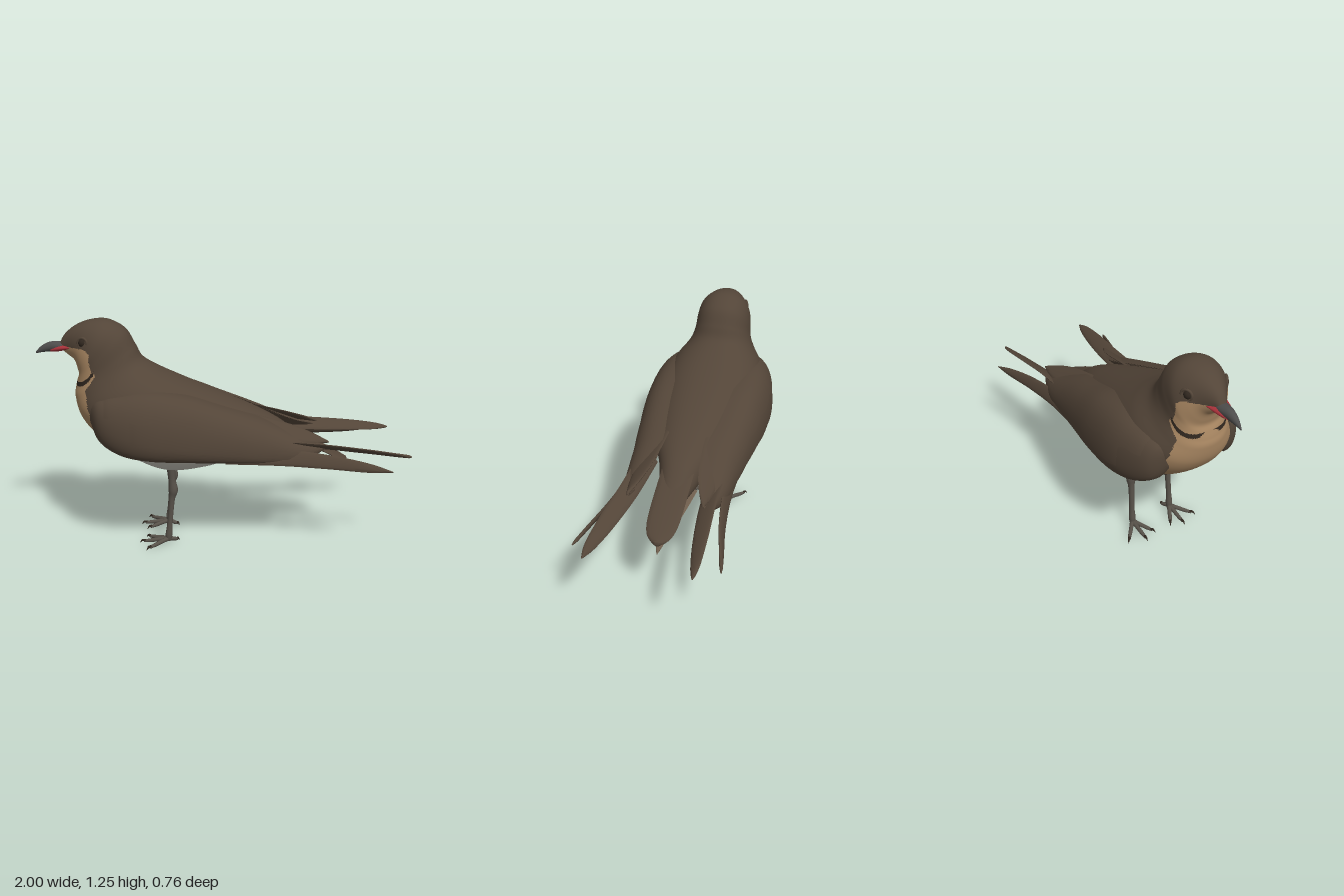
import * as THREE from 'three';
import { toCreasedNormals } from 'three/addons/utils/BufferGeometryUtils.js';

const mat = (name, color) => Object.assign(new THREE.MeshStandardMaterial({ color }), { name });
const brown = mat('brown plumage', 0x534538);
const white = mat('white belly', 0xc6c4ba);
const tan = mat('tan throat', 0xa98762);
const dark = mat('dark collar', 0x30271f);
const grey = mat('grey leg', 0x575149);
const horn = mat('dark beak', 0x4d4c4b);
const red = mat('red gape', 0xa8323a);
const dun = mat('dun under tail', 0x6d5c4b);

const V = (x, y, z) => new THREE.Vector3(x, y, z);

// Catmull-Rom resampling of rows of any length
function sample(rows, n) {
  const out = [], last = rows.length - 1;
  for (let k = 0; k <= n; k++) {
    const u = (k / n) * last, i = Math.min(Math.floor(u), last - 1), f = u - i;
    const [a, b, c, d] = [Math.max(i - 1, 0), i, i + 1, Math.min(i + 2, last)].map(j => rows[j]);
    out.push(b.map((_, j) => b[j] + 0.5 * f * (c[j] - a[j] + f * (2 * a[j] - 5 * b[j] + 4 * c[j] - d[j]
      + f * (3 * (b[j] - c[j]) + d[j] - a[j])))));
  }
  return out;
}

// Closed skin over rings of points; faces may be sorted into materials by rule(centre)
function loft(rings, side = 1, rule = null, count = 1) {
  const n = rings[0].length, m = rings.length, pts = rings.flat().map(p => V(p.x, p.y, p.z * side));
  const mid = r => r.reduce((s, p) => s.add(V(p.x, p.y, p.z * side)), V(0, 0, 0)).divideScalar(n);
  pts.push(mid(rings[0]), mid(rings[m - 1]));
  const tris = [];
  for (let j = 0; j < n; j++) {
    const k = (j + 1) % n, e = (m - 1) * n;
    tris.push([n * m, k, j], [n * m + 1, e + j, e + k]);
    for (let i = 0; i < m - 1; i++) {
      const a = i * n + j, b = i * n + k;
      tris.push([a, b, a + n], [b, b + n, a + n]);
    }
  }
  // Turn all faces outward
  let vol = 0;
  const c = V(0, 0, 0);
  for (const [p, q, r] of tris) vol += pts[p].dot(c.crossVectors(pts[q], pts[r]));
  if (vol < 0) tris.forEach(t => t.reverse());
  const buckets = Array.from({ length: count }, () => []);
  for (const t of tris) {
    c.set(0, 0, 0);
    t.forEach(i => c.add(pts[i]));
    buckets[rule ? rule(c.divideScalar(3)) : 0].push(...t);
  }
  const g = new THREE.BufferGeometry().setFromPoints(pts);
  g.setIndex(buckets.flat());
  let start = 0;
  if (rule) buckets.forEach((b, i) => { g.addGroup(start, b.length, i); start += b.length; });
  g.computeVertexNormals();
  return g;
}

// Round limb along rows of [x, y, z, radius]
function limb(rows, side, n = 16, seg = 12) {
  const s = sample(rows, n), z = V(0, 0, 1);
  return loft(s.map((r, i) => {
    const a = s[Math.max(i - 1, 0)], b = s[Math.min(i + 1, n)];
    const t = V(b[0] - a[0], b[1] - a[1], b[2] - a[2]).normalize();
    const u = t.clone().cross(z).normalize(), v = t.clone().cross(u);
    return Array.from({ length: seg }, (_, k) => {
      const q = k / seg * Math.PI * 2;
      return V(r[0], r[1], r[2]).addScaledVector(u, Math.cos(q) * r[3]).addScaledVector(v, Math.sin(q) * r[3]);
    });
  }), side);
}

// Thin blade along rows of [x, y, z, halfWidth], outer edge lowered by tilt
function feather(rows, tilt, side, thick = 0.009) {
  const c = Math.cos(tilt), s = Math.sin(tilt);
  return toCreasedNormals(loft(sample(rows, 28).map(([x, y, z, w]) => Array.from({ length: 16 }, (_, k) => {
    const q = k / 16 * Math.PI * 2, a = Math.cos(q) * Math.max(w, 0.002);
    const b = Math.sin(q) * Math.min(thick, Math.max(w, 0.002));
    return V(x, y - a * s + b * c, z + a * c + b * s);
  })), side), 1);
}

// Body: [back x, back y, breast x, breast y, half width]
const BODY = [
  [-0.87, 1.125, -0.87, 1.1, 0.018], [-0.84, 1.175, -0.83, 1.065, 0.042], [-0.78, 1.222, -0.795, 1.035, 0.08],
  [-0.7, 1.25, -0.78, 0.99, 0.12], [-0.61, 1.25, -0.775, 0.96, 0.148], [-0.52, 1.2, -0.785, 0.93, 0.156],
  [-0.47, 1.115, -0.795, 0.89, 0.164], [-0.43, 1.043, -0.8, 0.84, 0.19], [-0.34, 0.985, -0.775, 0.74, 0.25],
  [-0.22, 0.928, -0.7, 0.64, 0.28], [-0.08, 0.868, -0.55, 0.52, 0.28], [0.06, 0.808, -0.34, 0.42, 0.26],
  [0.2, 0.745, -0.12, 0.43, 0.21], [0.32, 0.68, 0.05, 0.475, 0.14], [0.41, 0.61, 0.3, 0.485, 0.09],
  [0.5, 0.54, 0.45, 0.475, 0.05]];

// Edge of the tan throat and breast: [y, x]
const EDGE = [[0.58, -0.61], [0.7, -0.675], [0.8, -0.72], [0.9, -0.73], [0.94, -0.7], [0.98, -0.675], [1.0, -0.695],
  [1.05, -0.708], [1.09, -0.705], [1.112, -0.73]];

function plumage(p) {
  if (p.x > -0.64 && p.y < 0.575 - 0.15 * Math.max(0, p.x)) return 1;
  const f = (p.x + 0.785) / 0.1;
  if (f > 0 && f < 1 && Math.abs(p.y - 0.918 - 0.075 * f * f) < 0.011) return 3;
  for (let i = 0; i < EDGE.length - 1; i++) {
    const [y0, x0] = EDGE[i], [y1, x1] = EDGE[i + 1];
    if (p.y >= y0 && p.y < y1) return p.x < x0 + (x1 - x0) * (p.y - y0) / (y1 - y0) ? 2 : 0;
  }
  return 0;
}

// Folded wing: [x, top y, top z, outer y, outer z, bottom y, bottom z]
const WING = [
  [-0.71, 0.82, 0.16, 0.78, 0.185, 0.73, 0.16], [-0.66, 0.865, 0.16, 0.74, 0.27, 0.635, 0.2],
  [-0.55, 0.89, 0.17, 0.69, 0.325, 0.575, 0.25], [-0.4, 0.9, 0.17, 0.655, 0.353, 0.55, 0.28],
  [-0.2, 0.865, 0.17, 0.625, 0.348, 0.54, 0.285], [0, 0.795, 0.15, 0.6, 0.322, 0.53, 0.28],
  [0.2, 0.725, 0.12, 0.565, 0.295, 0.52, 0.27], [0.4, 0.64, 0.135, 0.55, 0.27, 0.515, 0.25],
  [0.54, 0.59, 0.2, 0.58, 0.215, 0.57, 0.2]];

// Wing skin, or a scalloped feather layer raised from it when end < 1
function wing(side, lift = 0, end = 1, from = 0, to = 60) {
  const rows = sample(WING, 60).slice(from, to + 1);
  return toCreasedNormals(loft(rows.map(([x, ty, tz, my, mz, by, bz], i) => {
    const fade = Math.sin(Math.PI * i / (rows.length - 1)) ** 0.5 * lift;
    const stop = end < 1 ? end + 0.035 * Math.abs(Math.sin(x * 17 + end * 9)) : 1;
    return Array.from({ length: 29 }, (_, k) => {
      const q = Math.PI * stop * k / 28, c = Math.cos(q), s = Math.max(0, Math.sin(q)), z0 = c > 0 ? tz : bz;
      return V(x, my + (c > 0 ? ty - my : my - by) * c + c * fade, z0 + (mz - z0) * s ** 0.7 + s * fade);
    });
  }), side), 0.9);
}

// Beak part: rows of [x, top y, bottom y, half width]
const beak = rows => loft(sample(rows, 20).map(([x, t, b, w]) => Array.from({ length: 20 }, (_, k) => {
  const q = k / 20 * Math.PI * 2;
  return V(x, (t + b) / 2 + Math.sin(q) * (t - b) / 2, Math.cos(q) * w);
})));

export function createModel() {
  const bird = new THREE.Group();
  bird.name = 'bird';
  const add = (name, geometry, material, parent = bird) => {
    const mesh = new THREE.Mesh(geometry, material);
    mesh.name = name;
    parent.add(mesh);
    return mesh;
  };

  // Head and body in one skin
  const pow = (v, e) => Math.sign(v) * Math.abs(v) ** e;
  const skin = sample(BODY, 180).map(([tx, ty, bx, by, w]) => Array.from({ length: 128 }, (_, k) => {
    const q = k / 128 * Math.PI * 2, h = pow(Math.cos(q), 0.94) / 2;
    return V((tx + bx) / 2 + (tx - bx) * h, (ty + by) / 2 + (ty - by) * h, w * pow(Math.sin(q), 0.9));
  }));
  add('body', loft(skin, 1, plumage, 4), [brown, white, tan, dark]);

  // Beak
  add('beak', beak([[-0.82, 1.13, 1.09, 0.03], [-0.87, 1.133, 1.085, 0.033], [-0.92, 1.133, 1.08, 0.025],
    [-0.965, 1.113, 1.076, 0.015], [-1, 1.08, 1.07, 0.003]]), horn);
  add('gape', beak([[-0.8, 1.118, 1.098, 0.06], [-0.83, 1.12, 1.092, 0.054], [-0.86, 1.12, 1.084, 0.046],
    [-0.89, 1.114, 1.079, 0.036], [-0.92, 1.1, 1.08, 0.022]]), red);

  // Tail
  add('tail', feather([[0.2, 0.69, 0, 0.09], [0.35, 0.62, 0, 0.088], [0.5, 0.545, 0, 0.088], [0.6, 0.493, 0, 0.083],
    [0.66, 0.462, 0, 0.065], [0.69, 0.447, 0, 0.035], [0.705, 0.44, 0, 0.004]], 0, 1, 0.014), brown);
  add('underTail', feather([[0.3, 0.51, 0, 0.1], [0.45, 0.485, 0, 0.08], [0.58, 0.44, 0, 0.045], [0.7, 0.38, 0, 0.003]], 0, 1), dun);

  for (const s of [1, -1]) {
    const side = s > 0 ? 'left' : 'right';

    // Wing with two raised layers of coverts
    const wings = new THREE.Group();
    wings.name = side + 'Wing';
    bird.add(wings);
    add('wing', wing(s), brown, wings);
    add('scapulars', wing(s, 0.01, 0.33, 10, 52), brown, wings);
    add('coverts', wing(s, 0.006, 0.55, 18, 54), brown, wings);
    add('tertials', feather([[0, 0.75, 0.15, 0.07], [0.3, 0.675, 0.17, 0.065], [0.45, 0.637, 0.185, 0.045], [0.56, 0.61, 0.2, 0.004]], 0.55, s), brown, wings);
    add('innerPrimary', feather([[0.2, 0.61, 0.2, 0.055], [0.5, 0.59, 0.212, 0.052], [0.75, 0.567, 0.24, 0.044],
      [0.92, 0.549, 0.262, 0.027], [1, 0.54, 0.27, 0.003]], -0.5, s), brown, wings);
    add('outerPrimary', feather([[0, 0.565, 0.27, 0.045], [0.3, 0.55, 0.27, 0.045], [0.55, 0.53, 0.3, 0.038],
      [0.75, 0.51, 0.345, 0.025], [0.875, 0.495, 0.375, 0.003]], 1.15, s), brown, wings);

    // Eye and lid
    add(side + 'Eye', new THREE.SphereGeometry(0.026, 20, 14), dark).position.set(-0.735, 1.143, s * 0.098);
    const lid = add(side + 'Eyelid', new THREE.TorusGeometry(0.028, 0.007, 8, 24), brown);
    lid.position.set(-0.737, 1.143, s * 0.111);
    lid.rotation.y = -s * 0.5;

    // Leg and foot
    const leg = new THREE.Group();
    leg.name = side + 'Leg';
    bird.add(leg);
    add('shank', limb([[-0.292, 0.47, 0.12, 0.026], [-0.287, 0.38, 0.12, 0.02], [-0.281, 0.315, 0.118, 0.026], [-0.29, 0.26, 0.12, 0.017],
      [-0.303, 0.12, 0.124, 0.015], [-0.31, 0.05, 0.125, 0.019], [-0.312, 0.015, 0.125, 0.015]], s, 30), grey, leg);
    for (const [x, z] of [[-0.45, 0.125], [-0.415, 0.21], [-0.42, 0.062], [-0.262, 0.105]]) {
      const at = f => [-0.312 + (x + 0.312) * f, 0.125 + (z - 0.125) * f];
      const row = (f, y, r) => [at(f)[0], y, at(f)[1], r];
      add('toe', limb([row(0, 0.026, 0.014), row(0.35, 0.022, 0.012), row(0.7, 0.016, 0.011), row(1, 0.013, 0.008)], s, 12, 10), grey, leg);
      add('claw', limb([row(0.93, 0.015, 0.008), row(1.06, 0.018, 0.006), row(1.17, 0.003, 0.001)], s, 8, 8), dark, leg);
    }
  }
  return bird;
}
